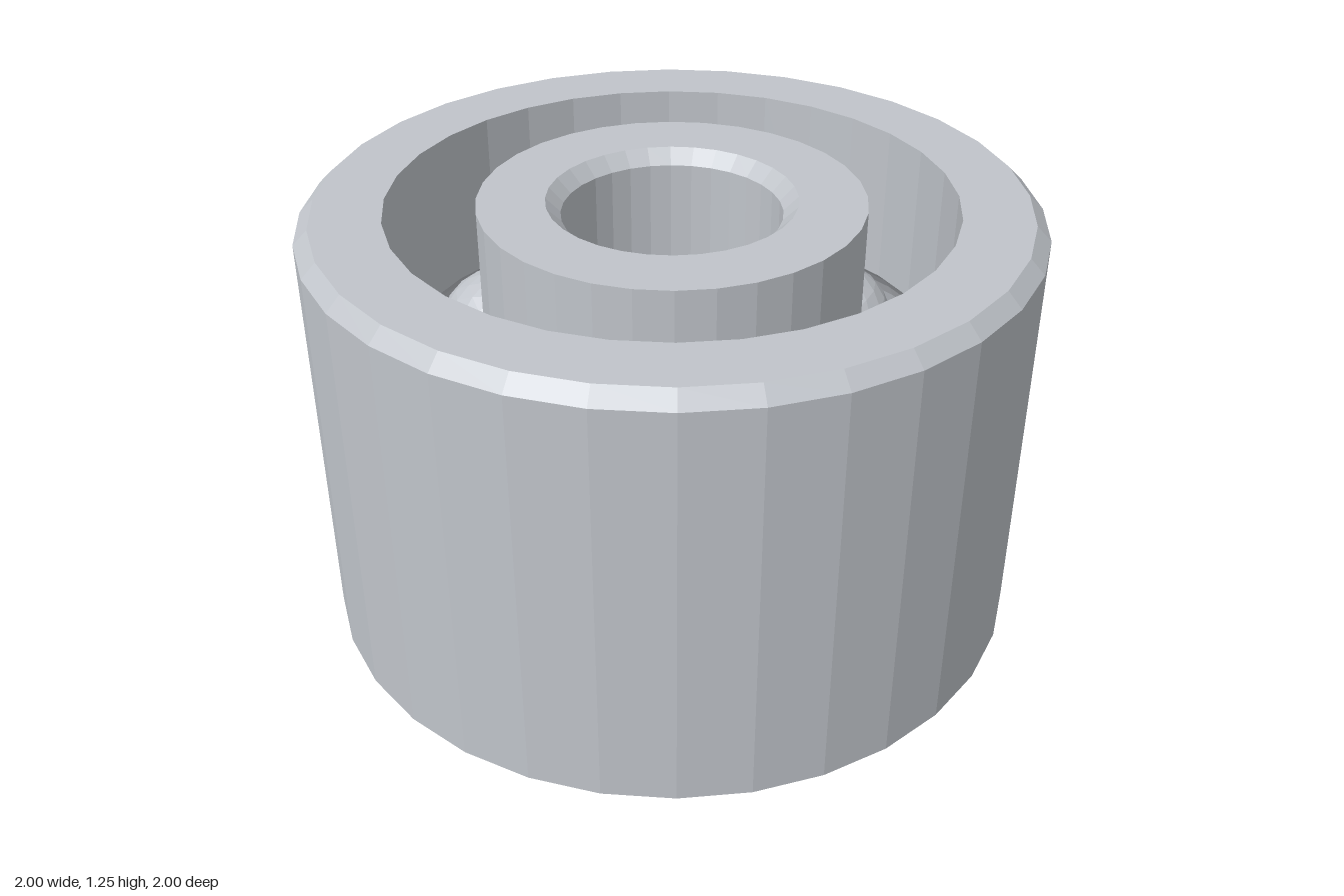
import * as THREE from 'three';

const HEIGHT = 1.25, MID = HEIGHT / 2, CHAMFER = 0.04;
const BORE = 0.30, INNER_RACE = 0.525, OUTER_RACE = 0.77, OUTER = 1;
const PITCH = (INNER_RACE + OUTER_RACE) / 2;
const GROOVE = 0.2, BALL = 0.195, BALLS = 7, SIDES = 32;

// Arc of the ball groove in profile, from angle a to angle b
function groove(a, b, steps = 10) {
  return Array.from({ length: steps + 1 }, (_, i) => {
    const t = a + (b - a) * i / steps;
    return [PITCH + GROOVE * Math.cos(t), MID + GROOVE * Math.sin(t)];
  });
}

// Closed ring turned from an anticlockwise (radius, height) profile
function ring(name, profile, material) {
  const points = [...profile, profile[0]].map(([r, y]) => new THREE.Vector2(r, y));
  const mesh = new THREE.Mesh(new THREE.LatheGeometry(points, SIDES), material);
  mesh.name = name;
  return mesh;
}

export function createModel() {
  const model = new THREE.Group();
  model.name = 'ballBearing';

  const steel = new THREE.MeshStandardMaterial({ color: 0xc0c4ca });
  steel.name = 'steel';
  steel.flatShading = true;

  const half = Math.acos((OUTER_RACE - PITCH) / GROOVE);

  // Outer ring: chamfered outside, grooved inside
  model.add(ring('outerRing', [
    [OUTER_RACE, 0], [OUTER - CHAMFER, 0], [OUTER, CHAMFER],
    [OUTER, HEIGHT - CHAMFER], [OUTER - CHAMFER, HEIGHT], [OUTER_RACE, HEIGHT],
    ...groove(half, -half),
  ], steel));

  // Inner ring: grooved outside, chamfered bore
  model.add(ring('innerRing', [
    [BORE + CHAMFER, 0], [INNER_RACE, 0],
    ...groove(Math.PI + half, Math.PI - half),
    [INNER_RACE, HEIGHT], [BORE + CHAMFER, HEIGHT],
    [BORE, HEIGHT - CHAMFER], [BORE, CHAMFER],
  ], steel));

  // Balls evenly spaced in the groove
  const balls = new THREE.Group();
  balls.name = 'balls';
  const ballGeometry = new THREE.IcosahedronGeometry(BALL, 3);
  for (let i = 0; i < BALLS; i++) {
    const angle = i / BALLS * Math.PI * 2;
    const ball = new THREE.Mesh(ballGeometry, steel);
    ball.name = `ball${i + 1}`;
    ball.position.set(PITCH * Math.cos(angle), MID, PITCH * Math.sin(angle));
    balls.add(ball);
  }
  model.add(balls);

  return model;
}
